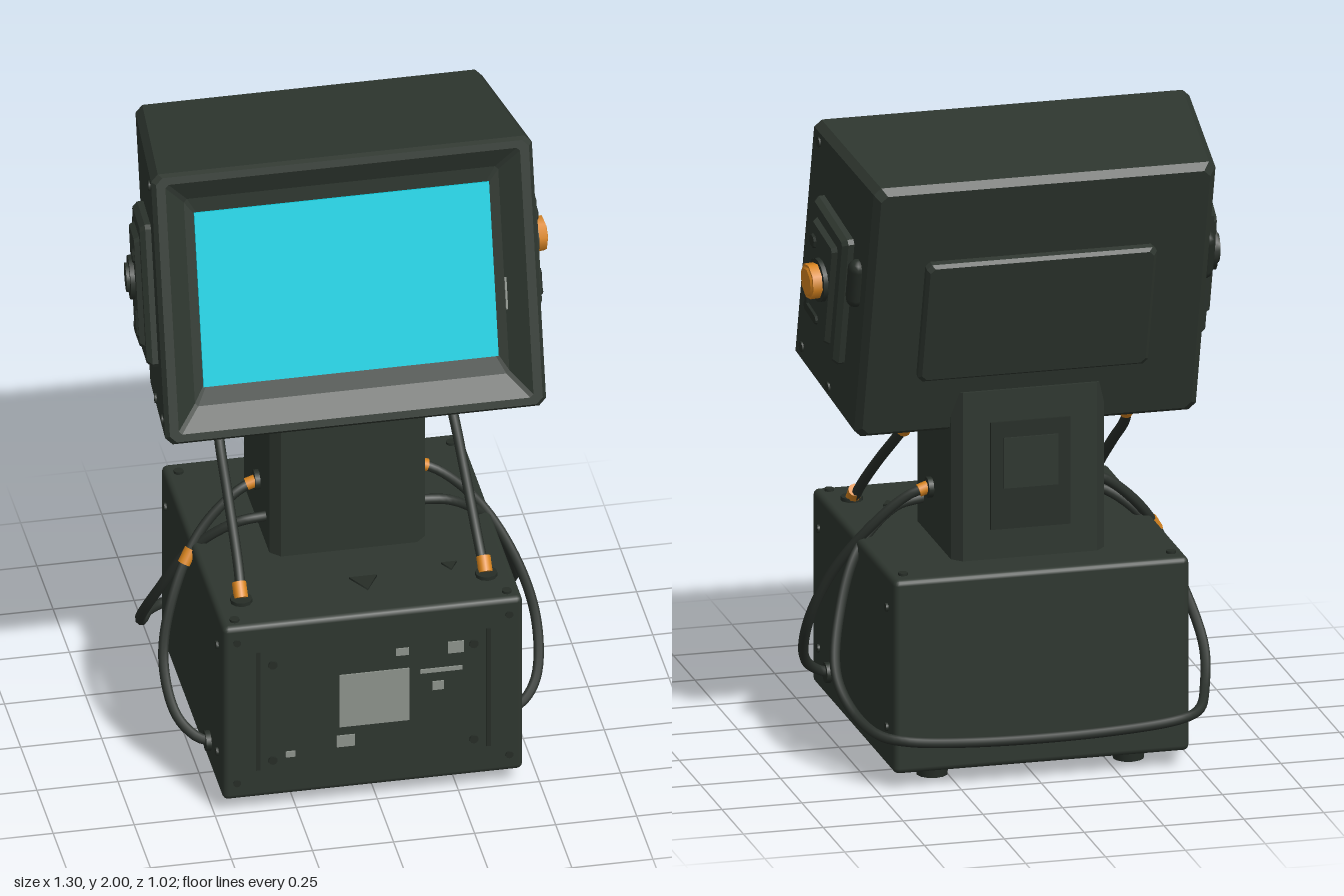
import * as THREE from 'three';
import { RoundedBoxGeometry } from 'three/addons/geometries/RoundedBoxGeometry.js';

const mat = (name, color, flat = false) => {
  const m = new THREE.MeshStandardMaterial({ color, flatShading: flat });
  m.name = name;
  return m;
};

// Closed loft through chamfered rectangles; ring = [z, halfX, halfY, chamfer, centreY]
function loft(rings) {
  const pos = [];
  const loops = rings.map(([z, hx, hy, c, cy = 0]) => [
    [hx, -hy + c], [hx, hy - c], [hx - c, hy], [-hx + c, hy],
    [-hx, hy - c], [-hx, -hy + c], [-hx + c, -hy], [hx - c, -hy],
  ].map(([x, y]) => [x, y + cy, z]));
  const tri = (a, b, c) => pos.push(...a, ...b, ...c);
  for (let i = 0; i < loops.length - 1; i++) {
    for (let j = 0; j < 8; j++) {
      const k = (j + 1) % 8, p = loops[i], q = loops[i + 1];
      tri(p[j], p[k], q[k]);
      tri(p[j], q[k], q[j]);
    }
  }
  const first = loops[0], last = loops[loops.length - 1];
  for (let j = 1; j < 7; j++) {
    tri(first[0], first[j + 1], first[j]);
    tri(last[0], last[j], last[j + 1]);
  }
  const g = new THREE.BufferGeometry();
  g.setAttribute('position', new THREE.Float32BufferAttribute(pos, 3));
  g.computeVertexNormals();
  return g;
}

export function createModel() {
  const body = mat('dark green casing', 0x2e362f);
  const trim = mat('darker trim', 0x262d27);
  const rubber = mat('cable rubber', 0x2a302b);
  const cyan = mat('cyan screen', 0x10d0e2);
  const orange = mat('orange metal', 0xd8841f);
  const grey = mat('worn grey paint', 0x8d938c);

  const root = new THREE.Group();
  root.name = 'terminal';
  const all = new THREE.Group();
  all.name = 'terminalParts';
  all.position.x = -0.013;
  root.add(all);

  const add = (parent, name, geo, m, x = 0, y = 0, z = 0) => {
    const mesh = new THREE.Mesh(geo, m);
    mesh.name = name;
    mesh.position.set(x, y, z);
    parent.add(mesh);
    return mesh;
  };
  const box = (w, h, d) => new THREE.BoxGeometry(w, h, d);
  const discX = (r, h, n = 12) => new THREE.CylinderGeometry(r, r, h, n).rotateZ(-Math.PI / 2);
  const discZ = (r, h, n = 10) => new THREE.CylinderGeometry(r, r, h, n).rotateX(Math.PI / 2);
  const cable = (name, pts, r = 0.016) => {
    const path = new THREE.CatmullRomCurve3(pts.map(p => new THREE.Vector3(...p)));
    return add(all, name, new THREE.TubeGeometry(path, 48, r, 8), rubber);
  };
  // Short cylinder pointing along a direction, used as a cable plug
  const plug = (name, p, dir, m, r = 0.022, len = 0.05) => {
    const mesh = add(all, name, new THREE.CylinderGeometry(r, r, len, 10), m, ...p);
    mesh.quaternion.setFromUnitVectors(new THREE.Vector3(0, 1, 0), new THREE.Vector3(...dir).normalize());
  };

  // Base box with feet
  add(all, 'base', new RoundedBoxGeometry(0.925, 0.615, 0.96, 2, 0.018), body, 0, 0.3575, 0.021);
  for (const x of [-0.3075, 0.3075]) for (const z of [-0.32, 0.32]) {
    add(all, 'foot', new THREE.CylinderGeometry(0.055, 0.048, 0.06, 12), trim, x, 0.03, z);
  }

  // Base front: ridges, screws and worn paint
  for (const s of [-1, 1]) {
    add(all, 'frontRidge', box(0.014, 0.42, 0.012), trim, s * 0.355, 0.36, 0.5);
    for (const y of [0.18, 0.52]) add(all, 'frontScrew', discZ(0.014, 0.012), trim, s * 0.31, y, 0.502);
    for (const y of [0.11, 0.61]) add(all, 'cornerScrew', discZ(0.012, 0.01), trim, s * 0.42, y, 0.501);
    for (const y of [0.18, 0.56]) for (const z of [-0.38, 0.42]) {
      add(all, 'sideScrew', discX(0.013, 0.014), trim, s * 0.463, y, z);
    }
    for (const z of [-0.4, 0.46]) {
      add(all, 'topScrew', new THREE.CylinderGeometry(0.015, 0.015, 0.012, 10), trim, s * 0.42, 0.667, z);
    }
  }
  const paint = [
    [0.003, 0.365, 0.215, 0.185], [0.09, 0.518, 0.04, 0.025], [0.255, 0.515, 0.05, 0.04],
    [0.21, 0.44, 0.13, 0.014], [0.2, 0.385, 0.035, 0.03], [-0.085, 0.222, 0.055, 0.04], [-0.255, 0.195, 0.03, 0.02],
  ];
  for (const [x, y, w, h] of paint) add(all, 'paintPatch', box(w, h, 0.006), grey, x, y, 0.502);

  // Triangular mark on the base top
  const mark = new THREE.CylinderGeometry(0.05, 0.05, 0.008, 3);
  add(all, 'topMark', mark, trim, 0.01, 0.667, 0.32);
  add(all, 'smallTopMark', new THREE.CylinderGeometry(0.028, 0.028, 0.008, 3), trim, 0.28, 0.667, 0.28);

  // Column with a rear plate and collar
  const column = loft([[0, 0.24, 0.225, 0.03], [0.55, 0.24, 0.225, 0.03]]).rotateX(-Math.PI / 2);
  add(all, 'column', column, body, 0, 0.65, -0.095);
  add(all, 'columnBackPlate', box(0.25, 0.34, 0.012), trim, 0, 0.93, -0.322);
  add(all, 'columnBackInset', box(0.17, 0.16, 0.012), body, 0, 0.97, -0.328);

  // Tilted head: tapered shell whose front funnels down to the screen
  const head = new THREE.Group();
  head.name = 'head';
  head.position.set(0, 1.59, 0.135);
  head.rotation.x = -0.273;
  all.add(head);
  add(head, 'headShell', loft([
    [-0.535, 0.515, 0.428, 0.02, 0.05], [-0.515, 0.535, 0.448, 0.022, 0.05],
    [-0.015, 0.5875, 0.427, 0.022], [0, 0.575, 0.418, 0.02],
    [0, 0.547, 0.395, 0.01], [-0.045, 0.485, 0.328, 0.01, 0.003], [-0.055, 0.45, 0.27, 0.006, 0.008],
  ]), body);
  add(head, 'screen', box(0.91, 0.551, 0.008), cyan, 0, 0.008, -0.05);
  add(head, 'screenSideSlot', box(0.006, 0.1, 0.008), grey, 0.487, -0.07, -0.038);

  // Rear service panel
  add(head, 'rearPanel', loft([
    [-0.565, 0.35, 0.2, 0.015, 0.02], [-0.555, 0.36, 0.21, 0.015, 0.02], [-0.52, 0.36, 0.21, 0.015, 0.02],
  ]), body);

  // Side panels; each group's +x points outwards
  for (const s of [1, -1]) {
    const side = new THREE.Group();
    side.name = s > 0 ? 'leftSidePanel' : 'rightSidePanel';
    side.position.set(s * 0.561, 0.01, -0.262);
    side.rotation.y = s > 0 ? 0.1 : Math.PI - 0.1;
    head.add(side);
    const plate = (name, h, d, t, m, y = 0, z = 0) => {
      const g = loft([[0, d / 2, h / 2, 0.012], [t * 0.6, d / 2, h / 2, 0.012], [t, d / 2 - 0.012, h / 2 - 0.012, 0.01]]);
      add(side, name, g.rotateY(Math.PI / 2), m, -0.005, y, z * s);
    };
    plate('sidePlate', 0.45, 0.275, 0.04, body);
    plate('sideInnerPlate', 0.36, 0.2, 0.056, body);
    plate('sideSlot', 0.06, 0.06, 0.063, trim, 0.11, 0.06);
    plate('sideFoot', 0.05, 0.13, 0.063, trim, -0.13, 0.03);
    plate('sideFootStem', 0.1, 0.04, 0.063, trim, -0.1, 0.07);
    add(side, 'knobCollar', discX(0.068, 0.02, 16), trim, 0.055, 0.02, -0.02 * s);
    if (s > 0) {
      add(side, 'orangeKnob', discX(0.056, 0.05, 8), orange, 0.07, 0.02, -0.02);
      const cap = new THREE.CylinderGeometry(0.042, 0.056, 0.012, 8).rotateZ(-Math.PI / 2);
      add(side, 'orangeKnobCap', cap, orange, 0.094, 0.02, -0.02);
    } else {
      add(side, 'darkKnob', discX(0.045, 0.03, 16), body, 0.06, 0.02, 0.02);
    }
    // Oval latch behind the panel
    const latch = add(side, 'sideLatch', new THREE.CapsuleGeometry(0.032, 0.1, 4, 10), trim, 0.004, 0.105, -0.185 * s);
    latch.scale.x = 0.9;
    for (const [y, z] of [[0.37, 0.2], [-0.37, 0.2], [-0.37, -0.03]]) {
      add(side, 'headScrew', discX(0.016, 0.014), trim, 0, y, z * s);
    }
  }

  // Cables, mirrored on both sides
  for (const s of [1, -1]) {
    // Straight run from the base top to the head's underside
    cable('frontCable', [[s * 0.375, 0.67, 0.345], [s * 0.37, 0.74, 0.27], [s * 0.365, 0.88, 0.08], [s * 0.36, 0.99, -0.08], [s * 0.345, 1.08, -0.19]]);
    plug('frontSocket', [s * 0.378, 0.667, 0.355], [0, 1, 0], trim, 0.034, 0.02);
    plug('frontPlug', [s * 0.377, 0.69, 0.332], [0, 0.75, -0.7], orange);
    plug('headSocket', [s * 0.345, 1.085, -0.17], [0, 1, 0.27], trim, 0.05, 0.05);
    plug('headPlug', [s * 0.348, 1.055, -0.155], [0, 0.75, -0.7], orange);
    // Loop from the column down to the base side
    cable('sideCable', [[s * 0.23, 0.83, -0.065], [s * 0.31, 0.8, -0.05], [s * 0.43, 0.69, -0.02], [s * 0.53, 0.52, 0.06],
      [s * 0.575, 0.35, 0.14], [s * 0.555, 0.21, 0.24], [s * 0.5, 0.155, 0.29], [s * 0.45, 0.14, 0.3]]);
    plug('columnSocket', [s * 0.243, 0.825, -0.065], [1, 0, 0], trim, 0.032, 0.025);
    plug('columnPlug', [s * 0.265, 0.82, -0.06], [s, -0.35, 0], orange, 0.02, 0.03);
    plug('sideSocket', [s * 0.466, 0.142, 0.295], [1, 0, 0], trim, 0.032, 0.025);
  }
  plug('cableBand', [-0.475, 0.625, 0.01], [-0.5, -0.8, 0.3], orange, 0.02, 0.05);

  // One long cable leaving both column sides and wrapping behind the base
  const half = [[0.23, 0.76, 0.04], [0.33, 0.74, 0.03], [0.46, 0.63, -0.02], [0.54, 0.45, -0.1], [0.575, 0.3, -0.2],
    [0.55, 0.21, -0.31], [0.5, 0.17, -0.43], [0.43, 0.16, -0.478], [0.2, 0.14, -0.48]];
  cable('rearCable', [...half, ...half.map(([x, y, z]) => [-x, y, z]).reverse()]).geometry = (() => {
    const pts = [...half, ...half.map(([x, y, z]) => [-x, y, z]).reverse()].map(p => new THREE.Vector3(...p));
    return new THREE.TubeGeometry(new THREE.CatmullRomCurve3(pts), 140, 0.016, 8);
  })();

  return root;
}
